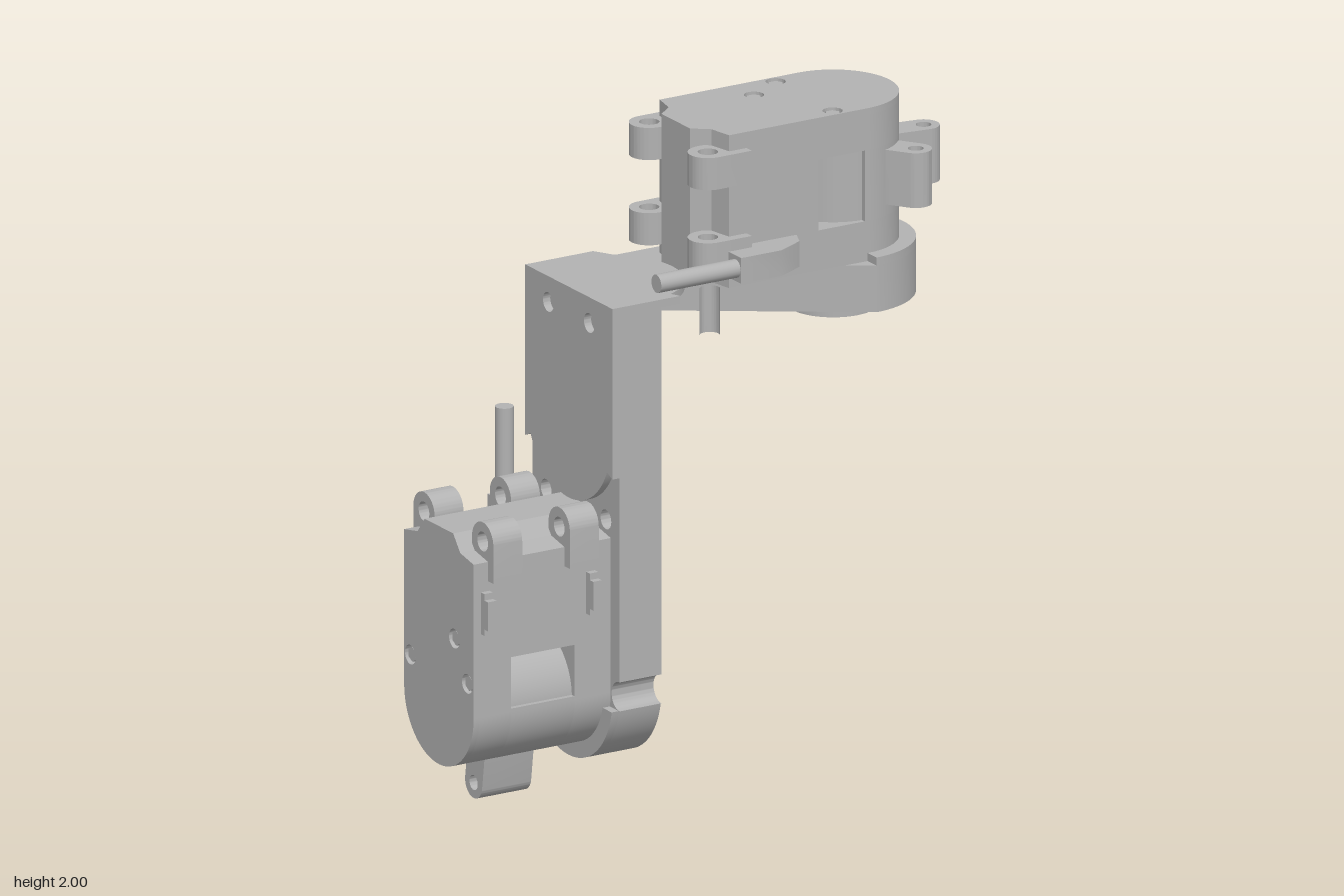
import * as THREE from 'three';
import { toCreasedNormals } from 'three/addons/utils/BufferGeometryUtils.js';

const grey = new THREE.MeshStandardMaterial({ color: 0xb2b2b2 });
grey.name = 'machinedGrey';

const HALF = 0.245;    // half width of a link plate
const BODY = 0.195;    // half width of a motor housing
const PLATE = 0.145;   // thin part of a link plate
const PAD = 0.17;      // full thickness of a link plate
const DEPTH = 0.62;    // plate back to housing end

function part(name, geometry) {
  const mesh = new THREE.Mesh(geometry, grey);
  mesh.name = name;
  return mesh;
}

// Solid made from a flat outline, reaching from height w0 to w1
function slab(name, shape, w0, w1) {
  const geo = new THREE.ExtrudeGeometry(shape, { depth: w1 - w0, bevelEnabled: false, curveSegments: 24 });
  geo.translate(0, 0, w0);
  return part(name, toCreasedNormals(geo, 0.5));
}

function box(name, x0, x1, y0, y1, z0, z1) {
  const geo = new THREE.BoxGeometry(x1 - x0, y1 - y0, z1 - z0);
  geo.translate((x0 + x1) / 2, (y0 + y1) / 2, (z0 + z1) / 2);
  return part(name, geo);
}

function cutHole(shape, x, y, r) {
  const hole = new THREE.Path();
  hole.absarc(x, y, r, 0, Math.PI * 2, true);
  shape.holes.push(hole);
}

// Round-ended tab with a hole, running along +y from y0 to its hole centre y1
function tab(r, holeR, y0, y1) {
  const s = new THREE.Shape();
  s.moveTo(-r, y0);
  s.lineTo(r, y0);
  s.lineTo(r, y1);
  s.absarc(0, y1, r, 0, Math.PI, false);
  s.closePath();
  cutHole(s, 0, y1, holeR);
  return s;
}

// Link plate with a round end about the axis, optionally notched at both sides
function plateShape(length, notched) {
  const s = new THREE.Shape();
  const n = 0.045, a = notched ? 0.185 : 0;
  s.moveTo(-HALF, length);
  if (notched) {
    s.lineTo(-HALF, n);
    s.absarc(-HALF, 0, n, Math.PI / 2, -Math.PI / 2, true);
  }
  s.absarc(0, 0, HALF, Math.PI + a, Math.PI * 2 - a, false);
  if (notched) s.absarc(HALF, 0, n, -Math.PI / 2, -Math.PI * 1.5, true);
  s.lineTo(HALF, length);
  s.closePath();
  for (const side of [-1, 1]) cutHole(s, side * 0.168, 0.53, 0.03);
  return s;
}

// Thickened far end of the plate, bounded by an arc
function padShape(length) {
  const s = new THREE.Shape();
  s.moveTo(-HALF, length);
  s.lineTo(-HALF, 0.68);
  s.lineTo(-0.2, 0.7);
  s.absarc(0, 0.79, 0.235, Math.PI + 0.42, Math.PI * 2 - 0.42, false);
  s.lineTo(0.2, 0.7);
  s.lineTo(HALF, 0.68);
  s.lineTo(HALF, length);
  s.closePath();
  if (length > 1) for (const side of [-1, 1]) cutHole(s, side * 0.115, 1.13, 0.03);
  return s;
}

// Thick round end that surrounds the base of the housing
function lobeShape(notched) {
  const a = notched ? 0.185 : 0;
  const s = new THREE.Shape();
  s.absarc(0, 0, HALF, Math.PI + a, Math.PI * 2 - a, false);
  s.closePath();
  return s;
}

// Housing outline; a recess cuts a window into both sides
function bodyShape(recess) {
  const s = new THREE.Shape();
  const right = [[BODY, 0.01], [BODY - recess, 0.01], [BODY - recess, 0.17], [BODY, 0.17],
    [BODY, 0.48], [0.12, 0.495], [0.08, 0.545]];
  s.absarc(0, 0, BODY, Math.PI, Math.PI * 2, false);
  for (const [x, y] of right) s.lineTo(x, y);
  for (const [x, y] of right.slice().reverse()) s.lineTo(-x, y);
  s.closePath();
  return s;
}

// Motor and link plate: x across, y along the link, z along the motor axis
function createUnit(name, length, notched) {
  const unit = new THREE.Group();
  unit.name = name;

  // Link plate
  unit.add(slab('linkPlate', plateShape(length, notched), 0, PLATE));
  unit.add(slab('linkPad', padShape(length), PLATE, PAD));
  unit.add(slab('linkLobe', lobeShape(notched), PLATE, PAD));

  // Bearing cap with two holes
  const cap = new THREE.Shape();
  cap.absarc(0, 0, 0.137, 0, Math.PI * 2, false);
  for (const side of [-1, 1]) cutHole(cap, side * 0.08, 0, 0.02);
  unit.add(slab('bearingCap', cap, -0.04, 0));

  // Housing in layers, windows in the middle one
  unit.add(slab('housingBase', bodyShape(0), PLATE, 0.27));
  unit.add(slab('housingMiddle', bodyShape(0.1), 0.27, 0.49));
  unit.add(slab('housingUpper', bodyShape(0), 0.49, 0.6));
  const end = bodyShape(0);
  const screws = [[0.16, 0.1], [0.087, 0.22], [-0.16, 0.1]];
  for (const [x, y] of screws) cutHole(end, x, y, 0.03);
  unit.add(slab('housingEnd', end, 0.6, DEPTH));
  for (const [x, y] of screws) {
    const screw = new THREE.CylinderGeometry(0.023, 0.023, 0.014, 6);
    screw.rotateX(Math.PI / 2);
    screw.translate(x, y, 0.607);
    unit.add(part('screw', screw));
  }
  const rotor = new THREE.CylinderGeometry(0.18, 0.18, 0.22, 40);
  rotor.rotateX(Math.PI / 2);
  rotor.translate(0, 0, 0.38);
  unit.add(part('rotor', rotor));

  // Mounting lugs at the square end
  for (const side of [-1, 1]) {
    for (const w of [0.205, 0.47]) {
      const lug = slab('mountingLug', tab(0.06, 0.03, 0.42, 0.535), w, w + 0.1);
      lug.position.x = side * 0.165;
      unit.add(lug);
    }
  }

  // Ears around the round end
  for (const [x, y] of [[-0.04, -0.289], [-0.217, -0.153]]) {
    const ear = slab('ear', tab(0.048, 0.023, 0.12, Math.hypot(x, y)), 0.305, 0.475);
    ear.rotation.z = Math.atan2(y, x) - Math.PI / 2;
    unit.add(ear);
  }

  // Side clips
  for (const w of [0.2, 0.565]) {
    unit.add(box('sideClip', 0.18, 0.215, 0.26, 0.39, w, w + 0.03));
    unit.add(box('clipHook', 0.21, 0.235, 0.28, 0.37, w, w + 0.03));
  }

  // Cable outlet and cable
  const outlet = new THREE.Shape();
  [[-0.18, 0.24], [-0.18, 0.5], [-0.295, 0.5], [-0.295, 0.36], [-0.25, 0.27]]
    .forEach(([x, y], i) => (i ? outlet.lineTo(x, y) : outlet.moveTo(x, y)));
  outlet.closePath();
  unit.add(slab('cableOutlet', outlet, 0.19, 0.27));
  const cable = new THREE.CylinderGeometry(0.028, 0.028, 0.3, 20);
  cable.translate(-0.265, 0.625, 0.23);
  unit.add(part('cable', cable));
  return unit;
}

export function createModel() {
  const model = new THREE.Group();
  model.name = 'jointedArm';

  // Lower unit: link upright, motor axis sideways
  const lower = createUnit('lowerJoint', 1.21, true);
  lower.rotation.y = -Math.PI / 2;
  lower.position.set(-0.175, 0.34, -0.025);

  // Upper unit: link level, motor axis upright
  const upper = createUnit('upperJoint', 0.75, false);
  const basis = new THREE.Matrix4().makeBasis(
    new THREE.Vector3(0, 0, -1), new THREE.Vector3(-1, 0, 0), new THREE.Vector3(0, 1, 0));
  upper.quaternion.setFromRotationMatrix(basis);
  upper.position.set(0.57, 1.38, -0.025);

  const arm = new THREE.Group();
  arm.name = 'arm';
  arm.add(lower, upper);
  arm.rotation.y = THREE.MathUtils.degToRad(32);
  model.add(arm);
  return model;
}
